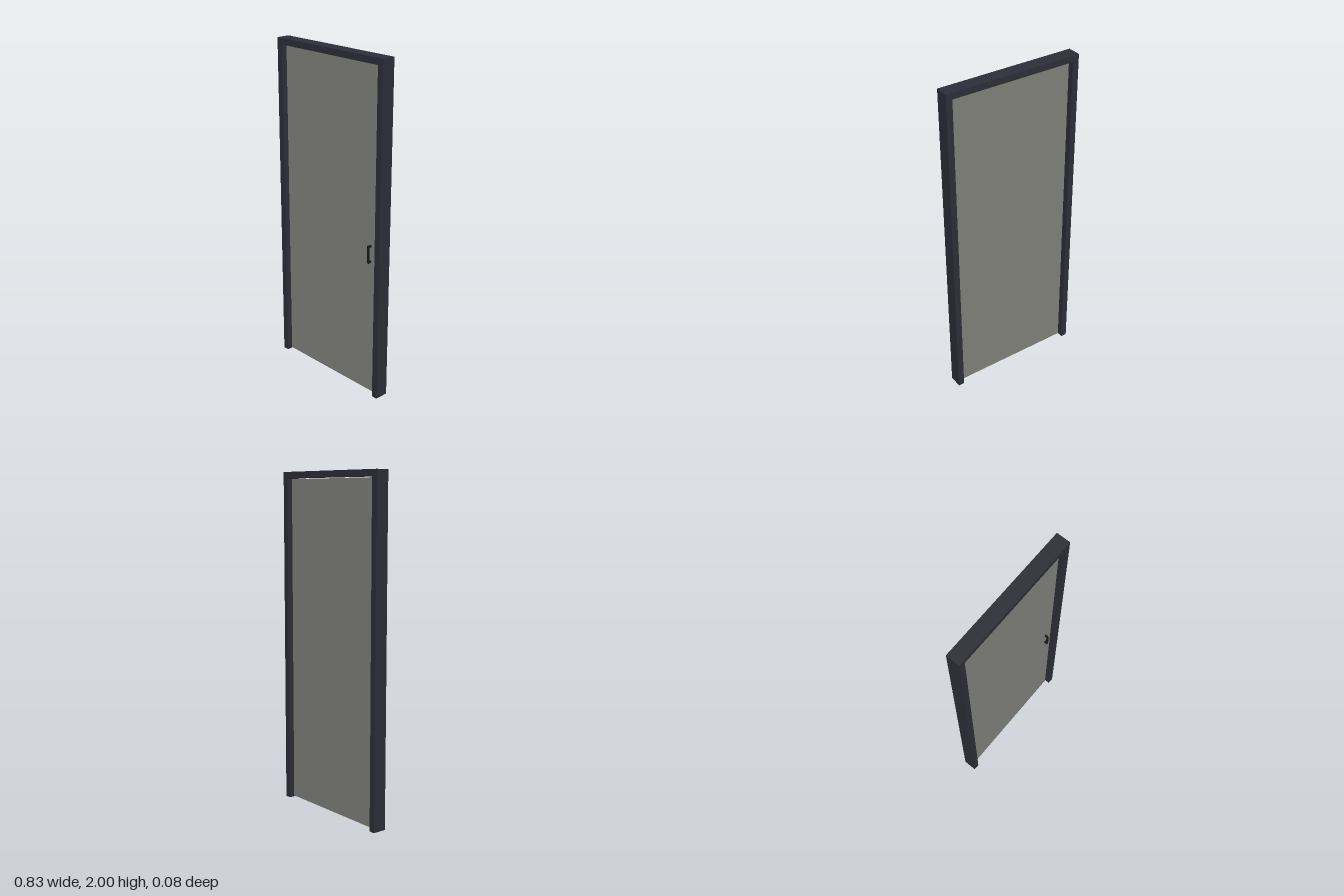
import * as THREE from 'three';

export function createModel() {
  const model = new THREE.Group();
  const material = (name, color) => {
    const m = new THREE.MeshStandardMaterial({ color });
    m.name = name;
    return m;
  };
  const darkFrame = material('dark frame', 0x2d2e37);
  const greyPanel = material('grey panel', 0x80807b);
  const blackMetal = material('black metal', 0x18181a);

  const add = (parent, name, geometry, mat, x = 0, y = 0, z = 0) => {
    const mesh = new THREE.Mesh(geometry, mat);
    mesh.name = name;
    mesh.position.set(x, y, z);
    parent.add(mesh);
    return mesh;
  };

  // Frame: two jambs and a head in one piece, open at the floor
  const outer = 0.415, inner = 0.378, headY = 1.963, depth = 0.082;
  const outline = new THREE.Shape([
    [-outer, 0], [-inner, 0], [-inner, headY], [inner, headY],
    [inner, 0], [outer, 0], [outer, 2], [-outer, 2],
  ].map(([x, y]) => new THREE.Vector2(x, y)));
  add(model, 'doorFrame',
    new THREE.ExtrudeGeometry(outline, { depth, bevelEnabled: false }),
    darkFrame, 0, 0, -depth / 2);

  // Door leaf, set in the middle of the frame with a narrow gap around it
  const leafDepth = 0.024, bottom = 0.008, top = 1.958;
  add(model, 'doorLeaf', new THREE.BoxGeometry(0.744, top - bottom, leafDepth),
    greyPanel, 0, (bottom + top) / 2, 0);

  // Pull handle on the front: upright bar on two standoffs
  const handle = new THREE.Group();
  handle.name = 'handle';
  handle.position.set(0.32, 0.887, leafDepth / 2);
  add(handle, 'handleBar', new THREE.BoxGeometry(0.012, 0.106, 0.008), blackMetal, 0, 0, 0.018);
  for (const side of [-1, 1]) {
    add(handle, 'handleStandoff', new THREE.BoxGeometry(0.012, 0.012, 0.015),
      blackMetal, 0, side * 0.047, 0.007);
  }
  model.add(handle);

  return model;
}
